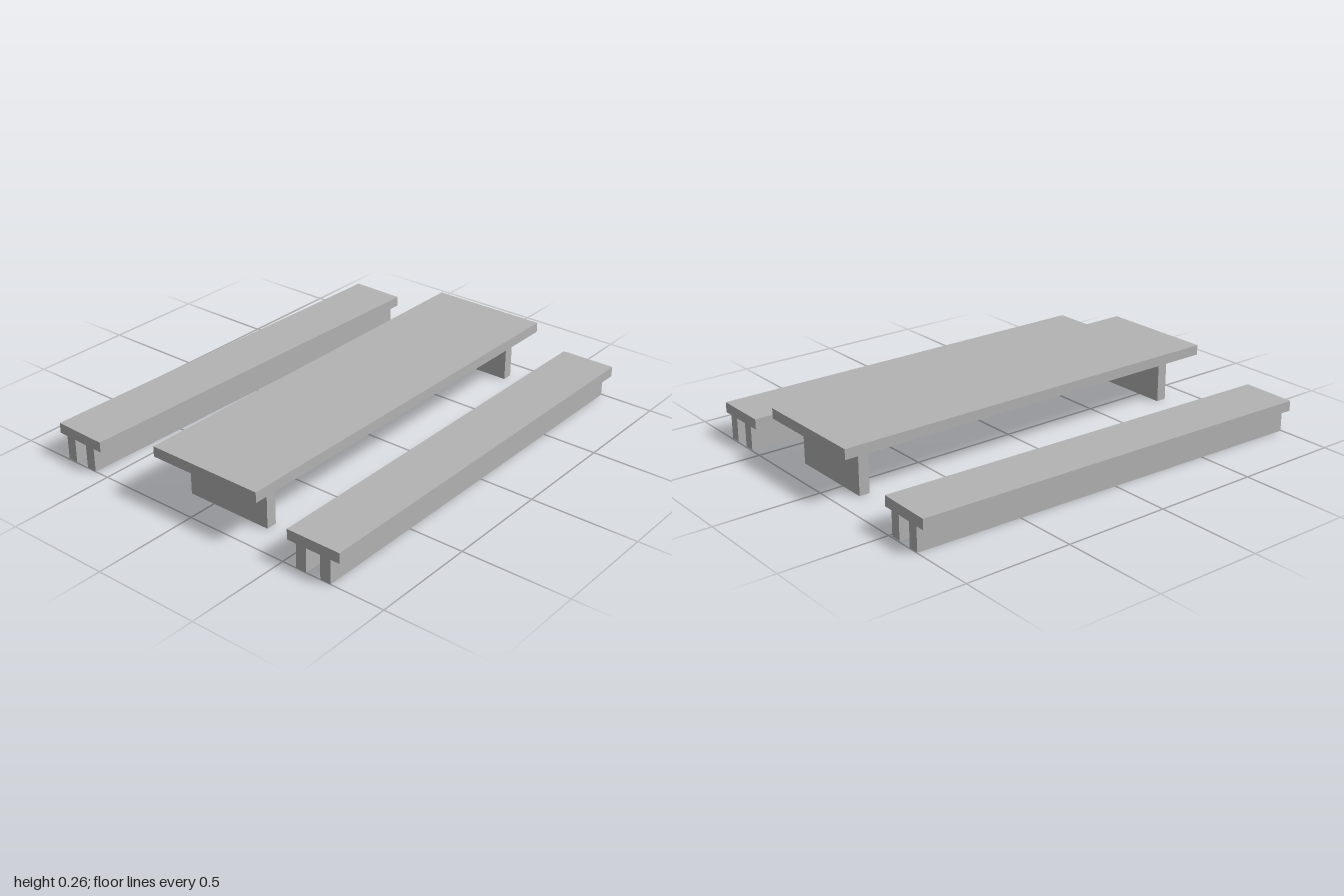
import * as THREE from 'three';

const LENGTH = 1.995;

export function createModel() {
  const model = new THREE.Group();
  const grey = new THREE.MeshStandardMaterial({ color: 0xb3b3b3 });
  grey.name = 'plain grey';

  // Box standing on height y, centred on x and z
  const addBox = (parent, name, [w, h, d], [x, y, z]) => {
    const mesh = new THREE.Mesh(new THREE.BoxGeometry(w, h, d), grey);
    mesh.name = name;
    mesh.position.set(x, y + h / 2, z);
    parent.add(mesh);
  };

  // Table: a wide top on two slab legs
  const table = new THREE.Group();
  table.name = 'table';
  table.position.set(-0.0025, 0, 0.085);
  addBox(table, 'tableTop', [LENGTH, 0.048, 0.565], [0, 0.215, 0]);
  addBox(table, 'rightTableLeg', [0.05, 0.215, 0.427], [-0.837, 0, 0]);
  addBox(table, 'leftTableLeg', [0.05, 0.215, 0.427], [0.867, 0, 0]);
  model.add(table);

  // Benches: a seat on two full-length rails; the back one is slightly turned
  const addBench = (name, x, z, turn) => {
    const bench = new THREE.Group();
    bench.name = name;
    bench.position.set(x, 0, z);
    bench.rotation.y = turn;
    addBox(bench, 'seat', [LENGTH, 0.048, 0.263], [0, 0.113, 0]);
    for (const side of [-1, 1]) {
      addBox(bench, side > 0 ? 'frontRail' : 'backRail', [LENGTH, 0.113, 0.051], [0, 0, side * 0.061]);
    }
    model.add(bench);
  };
  addBench('frontBench', -0.0025, 0.656, 0);
  addBench('backBench', -0.001, -0.631, -0.0285);

  return model;
}
